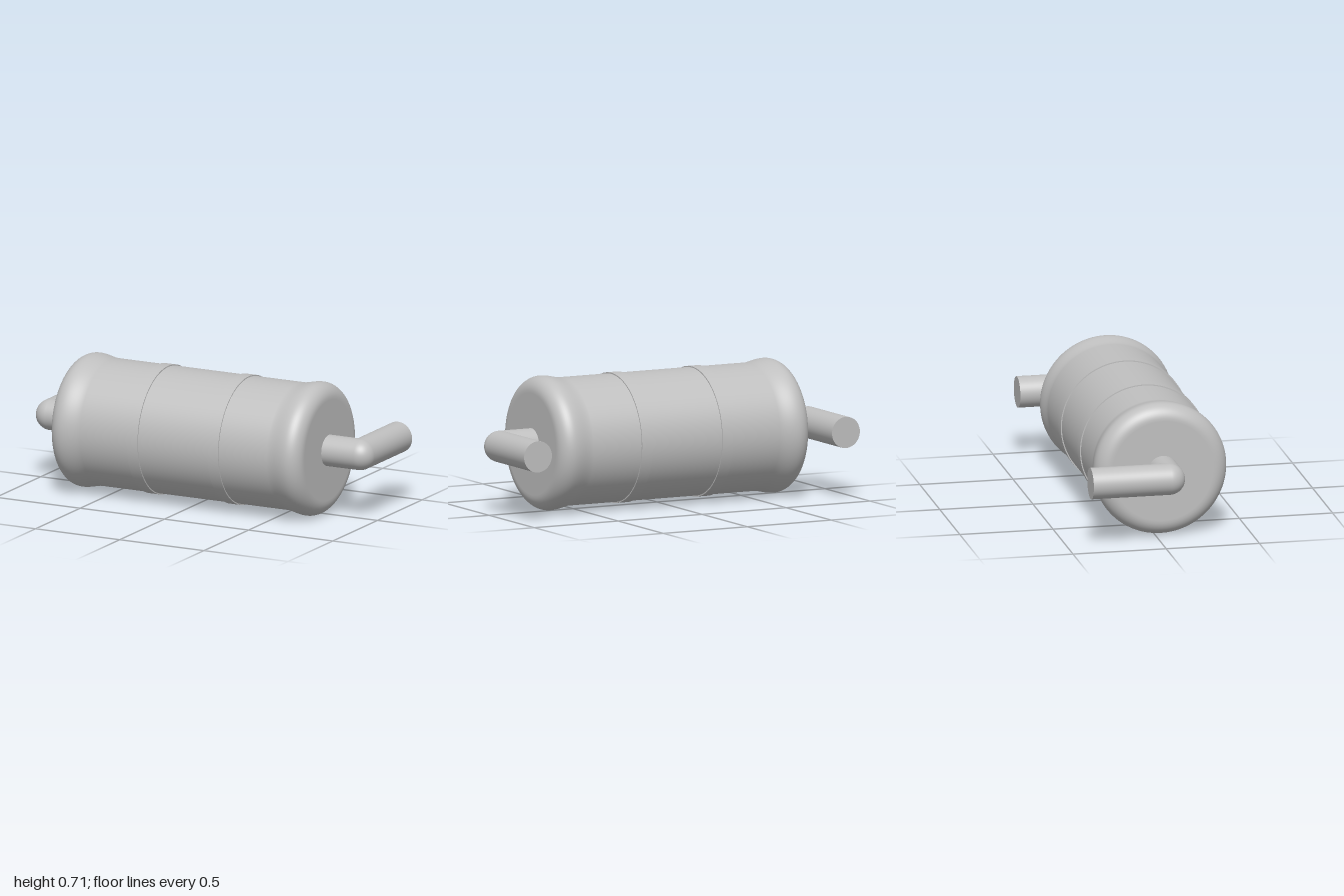
import * as THREE from 'three';

export function createModel() {
  const model = new THREE.Group();
  const metal = new THREE.MeshStandardMaterial({ color: 0xbfbfbf });
  metal.name = 'grey metal';

  const axisY = 0.355, axisZ = 0.034;
  const add = (name, geometry, x = 0, y = axisY, z = axisZ) => {
    const mesh = new THREE.Mesh(geometry, metal);
    mesh.name = name;
    mesh.position.set(x, y, z);
    model.add(mesh);
    return mesh;
  };

  // Canister: half profile from the flat end over the rolled rim to the waist, then mirrored
  const half = 0.744, rim = 0.08, maxR = 0.355, waistR = 0.338;
  const profile = [[0, -half], [maxR - rim - 0.005, -half]];
  for (let i = 0; i <= 12; i++) {
    const a = (i / 12) * Math.PI / 2;
    profile.push([maxR - rim + rim * Math.sin(a), -half + rim - rim * Math.cos(a)]);
  }
  for (let i = 1; i <= 10; i++) {
    const t = i / 10;
    const ease = t * t * (3 - 2 * t);
    profile.push([maxR + (waistR - maxR) * ease, -half + rim + 0.11 * t]);
  }
  const mirrored = profile.map(([r, h]) => [r, -h]).reverse();
  const points = [...profile, ...mirrored].map(([r, h]) => new THREE.Vector2(r, h));
  const shell = new THREE.LatheGeometry(points, 96);
  shell.rotateZ(-Math.PI / 2);
  add('canister', shell, -0.016);

  // Two thin straps around the waist, with square edges
  for (const x of [-0.257, 0.222]) {
    const strap = new THREE.CylinderGeometry(0.344, 0.344, 0.064, 96);
    strap.rotateZ(-Math.PI / 2);
    add('strap', strap, x);
  }

  // Elbow pipes: out of each end, round the corner, then straight back
  const pipeR = 0.083, cornerX = 1 - pipeR, backZ = -0.388;
  for (const side of [-1, 1]) {
    const inner = 0.6;
    const stub = new THREE.CylinderGeometry(pipeR, pipeR, cornerX - inner, 48, 1, true);
    stub.rotateZ(-Math.PI / 2);
    add('pipeStub', stub, side * (cornerX + inner) / 2);

    add('pipeElbow', new THREE.SphereGeometry(pipeR, 48, 32), side * cornerX);

    const tail = new THREE.CylinderGeometry(pipeR, pipeR, axisZ - backZ, 48);
    tail.rotateX(-Math.PI / 2);
    // End cap inside the elbow is trimmed by keeping the tail open there
    const cap = new THREE.CircleGeometry(pipeR, 48);
    cap.rotateY(Math.PI);
    const open = new THREE.CylinderGeometry(pipeR, pipeR, axisZ - backZ, 48, 1, true);
    open.rotateX(-Math.PI / 2);
    add('tailPipe', open, side * cornerX, axisY, (axisZ + backZ) / 2);
    add('tailPipeEnd', cap, side * cornerX, axisY, backZ);
    tail.dispose();
  }
  return model;
}
